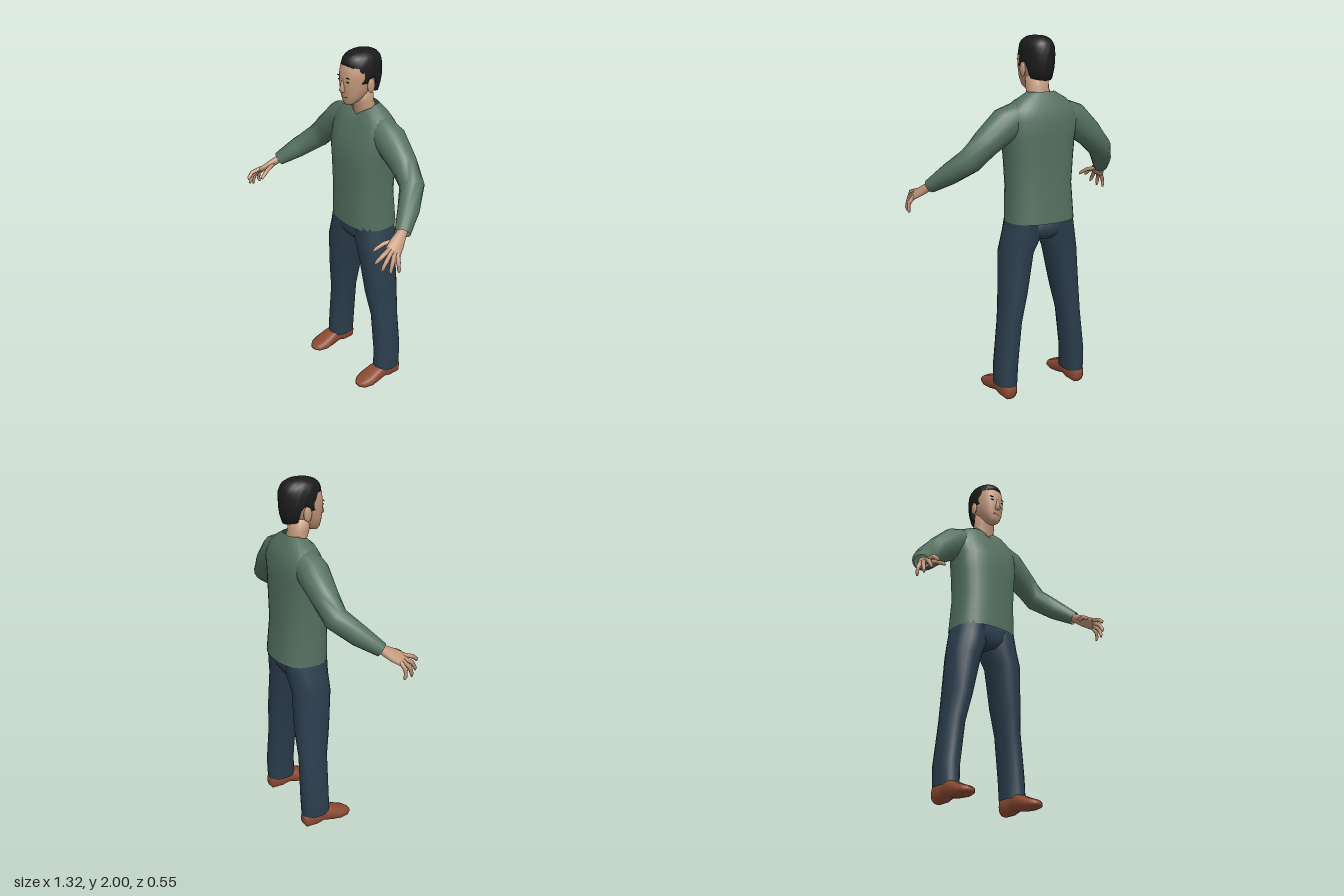
import * as THREE from 'three';

const V = (x, y, z) => new THREE.Vector3(x, y, z);
const X = V(1, 0, 0), Y = V(0, 1, 0), Z = V(0, 0, 1);

// Skin a list of point rings (all the same length) into one smooth surface.
function loft(rows, capped = true) {
  const n = rows[0].length, pos = [], idx = [];
  rows.flat().forEach(p => pos.push(p.x, p.y, p.z));
  for (let r = 0; r < rows.length - 1; r++) {
    for (let i = 0; i < n; i++) {
      const a = r * n + i, b = r * n + (i + 1) % n;
      idx.push(a, a + n, b, b, a + n, b + n);
    }
  }
  if (capped) {
    [0, rows.length - 1].forEach(r => {
      const c = rows[r].reduce((s, p) => s.add(p), V(0, 0, 0)).divideScalar(n);
      const k = pos.length / 3;
      pos.push(c.x, c.y, c.z);
      for (let i = 0; i < n; i++) {
        const a = r * n + i, b = r * n + (i + 1) % n;
        if (r === 0) idx.push(k, a, b); else idx.push(k, b, a);
      }
    });
  }
  const g = new THREE.BufferGeometry();
  g.setAttribute('position', new THREE.Float32BufferAttribute(pos, 3));
  g.setIndex(idx);
  g.computeVertexNormals();
  return g;
}

// Superellipse rings [x, y, z, radiusU, radiusV] along a path; U follows ref.
function sweep(rings, { ref = Y, axis = null, power = 2, sides = 16, capped = true, tweak = null } = {}) {
  const c = rings.map(r => V(r[0], r[1], r[2]));
  const bend = t => Math.sign(t) * Math.abs(t) ** (2 / power);
  return loft(rings.map((r, k) => {
    const T = axis ? axis.clone()
      : c[Math.min(k + 1, c.length - 1)].clone().sub(c[Math.max(k - 1, 0)]).normalize();
    const U = ref.clone().addScaledVector(T, -ref.dot(T)).normalize();
    const W = U.clone().cross(T);
    return Array.from({ length: sides }, (_, i) => {
      const a = i / sides * Math.PI * 2;
      const p = c[k].clone().addScaledVector(U, r[3] * bend(Math.cos(a)))
        .addScaledVector(W, r[4] * bend(Math.sin(a)));
      if (tweak) tweak(p);
      return p;
    });
  }), capped);
}

// Copy of a geometry on the other side of the body.
function mirrored(g) {
  const m = g.clone().scale(-1, 1, 1), ix = m.index;
  for (let i = 0; i < ix.count; i += 3) {
    const t = ix.getX(i);
    ix.setX(i, ix.getX(i + 1));
    ix.setX(i + 1, t);
  }
  m.computeVertexNormals();
  return m;
}

// Piecewise linear lookup in [[x, y], ...] with ascending x.
function lookup(table, x) {
  for (let i = 1; i < table.length; i++) {
    const [x0, y0] = table[i - 1], [x1, y1] = table[i];
    if (x <= x1) return y0 + (y1 - y0) * Math.max(0, (x - x0) / (x1 - x0));
  }
  return table[table.length - 1][1];
}

// Hair cap with a fringe, sideburns, gaps for the ears and a nape.
function hairGeometry() {
  const edge = [[-1, 1.765], [-0.4, 1.78], [-0.28, 1.86], [0.08, 1.865], [0.16, 1.835],
    [0.58, 1.84], [0.8, 1.925], [1, 1.935]];
  const n = 40, levels = [0, 0, 0.2, 0.4, 0.58, 0.72, 0.83, 0.91, 0.97, 1];
  return loft(levels.map((t, row) => Array.from({ length: n }, (_, i) => {
    const a = i / n * Math.PI * 2, yb = lookup(edge, Math.sin(a));
    const y = yb + (1.998 - yb) * t;
    let s = y > 1.9 ? Math.max(0.3, (1 - ((y - 1.9) / 0.1) ** 3) ** 0.4) : 1 - Math.max(0, 1.84 - y) * 2.4;
    s *= row === 0 ? 0.75 : 1 + 0.012 * Math.sin(i * 2.3 + row * 1.9);
    return V(0.089 * s * Math.cos(a), y, -0.097 + 0.119 * s * Math.sin(a));
  })));
}

export function createModel() {
  const model = new THREE.Group();
  const mat = (name, color, side = THREE.FrontSide) => {
    const m = new THREE.MeshStandardMaterial({ color, side });
    m.name = name;
    return m;
  };
  const sweater = mat('green knit', 0x547060, THREE.DoubleSide);
  const denim = mat('navy denim', 0x2b3d4d, THREE.DoubleSide);
  const skin = mat('skin', 0xc2977a);
  const black = mat('black hair', 0x1b1b1c);
  const leather = mat('brown leather', 0x8c4a31);
  const lip = mat('lips', 0x9c6b5a);

  const add = (name, g, m) => {
    const mesh = new THREE.Mesh(g, m);
    mesh.name = name;
    model.add(mesh);
  };
  const pair = (name, g, m) => {
    add(name + 'Left', g, m);
    add(name + 'Right', mirrored(g), m);
  };
  const ball = (x, y, z, rx, ry, rz) => new THREE.SphereGeometry(1, 14, 10).scale(rx, ry, rz).translate(x, y, z);
  const upright = { ref: X, axis: Y };

  // Sweater body, its neckline dipping to a V at the front
  add('sweaterBody', sweep([
    [0, 1.005, -0.125, 0.197, 0.146], [0, 1.2, -0.115, 0.188, 0.137], [0, 1.35, -0.115, 0.198, 0.138],
    [0, 1.47, -0.115, 0.21, 0.138], [0, 1.56, -0.132, 0.222, 0.12], [0, 1.62, -0.132, 0.2, 0.1],
    [0, 1.66, -0.13, 0.15, 0.08], [0, 1.695, -0.125, 0.08, 0.06],
  ], {
    ...upright, power: 2.5, sides: 28, capped: false,
    tweak: p => {
      const high = Math.max(0, (p.y - 1.6) / 0.095);
      if (p.z > -0.125) p.y -= 0.052 * high * Math.max(0, 1 - Math.abs(p.x) / 0.08);
      else p.y += 0.012 * high;
    },
  }), sweater);

  // Sleeves
  pair('sleeve', sweep([
    [0.11, 1.6, -0.13, 0.07, 0.075], [0.21, 1.545, -0.13, 0.093, 0.087], [0.33, 1.45, -0.125, 0.077, 0.073],
    [0.415, 1.365, -0.11, 0.069, 0.066], [0.495, 1.285, -0.02, 0.058, 0.058], [0.562, 1.212, 0.075, 0.038, 0.042],
  ], { capped: false }), sweater);

  // Hands: palm, four fingers and a thumb
  pair('palm', sweep([
    [0.54, 1.232, 0.045, 0.026, 0.024], [0.562, 1.208, 0.085, 0.029, 0.022], [0.583, 1.18, 0.13, 0.04, 0.019],
    [0.603, 1.156, 0.17, 0.043, 0.015], [0.61, 1.147, 0.183, 0.038, 0.011],
  ], { ref: V(-0.57, 0.46, 0.68) }), skin);
  const fingers = {
    indexFinger: [[0.59, 1.165, 0.197], [0.59, 1.12, 0.275]],
    middleFinger: [[0.602, 1.155, 0.185], [0.615, 1.08, 0.252]],
    ringFinger: [[0.614, 1.145, 0.172], [0.638, 1.06, 0.215]],
    littleFinger: [[0.624, 1.137, 0.156], [0.648, 1.058, 0.165]],
    thumb: [[0.562, 1.188, 0.115], [0.518, 1.14, 0.228]],
  };
  for (const [name, [a, b]] of Object.entries(fingers)) {
    const out = name === 'thumb' ? -0.006 : 0.012;
    const at = (t, k) => [a[0] + (b[0] - a[0]) * t + out * k, a[1] + (b[1] - a[1]) * t + 0.009 * k, a[2] + (b[2] - a[2]) * t + 0.01 * k];
    pair(name, sweep([
      [...at(-0.15, 0), 0.012, 0.012], [...at(0.45, 1), 0.012, 0.012],
      [...at(0.85, 0.5), 0.01, 0.01], [...at(1, 0), 0.005, 0.005],
    ], { sides: 8 }), skin);
  }

  // Trousers: hips and legs
  add('trouserHips', sweep([
    [0, 0.905, -0.12, 0.06, 0.09], [0, 0.945, -0.118, 0.165, 0.116], [0, 1.03, -0.122, 0.187, 0.128],
  ], { ...upright, power: 2.5, sides: 24 }), denim);
  pair('trouserLeg', sweep([
    [0.225, 0.075, -0.127, 0.06, 0.085], [0.222, 0.2, -0.132, 0.062, 0.085], [0.195, 0.44, -0.128, 0.063, 0.084],
    [0.17, 0.6, -0.121, 0.073, 0.102], [0.142, 0.83, -0.109, 0.094, 0.109], [0.108, 0.93, -0.118, 0.107, 0.118],
    [0.098, 1.03, -0.122, 0.092, 0.124],
  ], { ...upright, power: 2.2, capped: false }), denim);

  // Shoes, from heel to toe: z, half width, bottom, top
  pair('shoe', sweep([
    [-0.21, 0.026, 0.02, 0.075], [-0.195, 0.042, 0, 0.1], [-0.13, 0.046, 0, 0.108], [-0.09, 0.047, 0.014, 0.108],
    [-0.035, 0.055, 0.004, 0.094], [0.02, 0.059, 0, 0.068], [0.065, 0.048, 0.004, 0.052], [0.09, 0.024, 0.014, 0.036],
  ].map(([z, w, lo, hi]) => [0.227, (lo + hi) / 2, z, w, (hi - lo) / 2]),
  { ref: X, axis: Z, power: 2.6 }), leather);

  // Neck and head
  add('neck', sweep([
    [0, 1.6, -0.128, 0.08, 0.06], [0, 1.68, -0.122, 0.072, 0.055], [0, 1.72, -0.106, 0.065, 0.057],
    [0, 1.79, -0.098, 0.064, 0.06],
  ], upright), skin);
  add('head', sweep([
    [0, 1.716, -0.018, 0.024, 0.024], [0, 1.735, -0.03, 0.045, 0.045], [0, 1.775, -0.05, 0.067, 0.072],
    [0, 1.82, -0.075, 0.08, 0.103], [0, 1.87, -0.083, 0.086, 0.113], [0, 1.92, -0.09, 0.083, 0.113],
    [0, 1.96, -0.095, 0.068, 0.09], [0, 1.98, -0.095, 0.045, 0.06],
  ], { ...upright, power: 2.2, sides: 24 }), skin);
  add('nose', sweep([
    [0, 1.787, 0.018, 0.011, 0.01], [0, 1.798, 0.027, 0.018, 0.02], [0, 1.82, 0.026, 0.012, 0.016],
    [0, 1.862, 0.022, 0.007, 0.009],
  ], { ...upright, sides: 10 }), skin);
  pair('ear', ball(0.086, 1.822, -0.095, 0.011, 0.04, 0.024), skin);
  add('hair', hairGeometry(), black);

  // Face details
  pair('eye', ball(0.034, 1.85, 0.0215, 0.012, 0.0035, 0.004), black);
  pair('eyebrow', ball(0.035, 1.871, 0.021, 0.018, 0.0028, 0.0045), black);
  add('mouth', ball(0, 1.763, 0.016, 0.024, 0.006, 0.0048), lip);

  return model;
}
